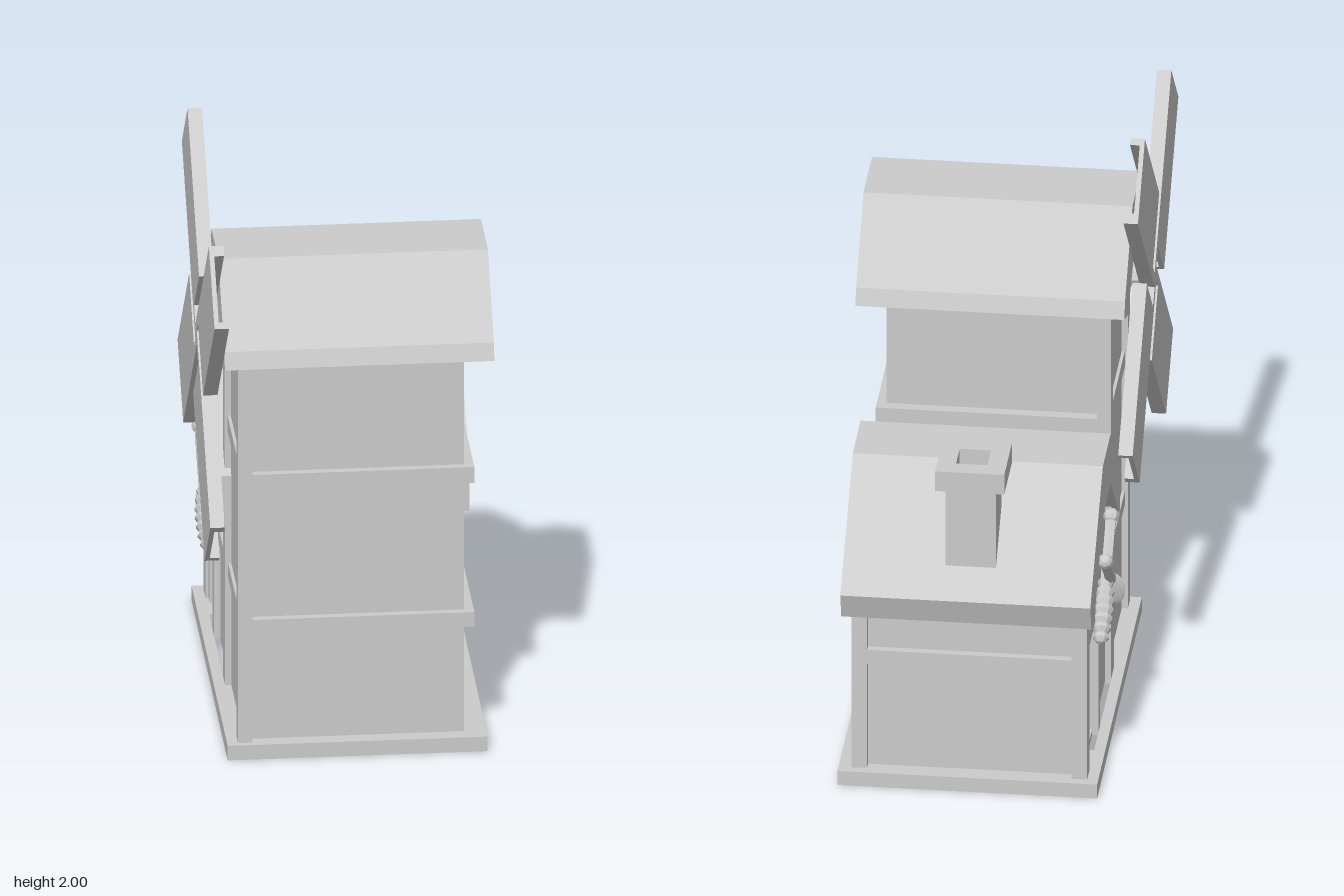
import * as THREE from 'three';

const mat = new THREE.MeshStandardMaterial({ color: 0xcccccc, flatShading: true, side: THREE.DoubleSide });

function add(parent, name, geo) {
  const m = new THREE.Mesh(geo, mat);
  m.name = name;
  parent.add(m);
  return m;
}

// Box from its min and max on each axis
function box(parent, name, x0, x1, y0, y1, z0, z1) {
  const g = new THREE.BoxGeometry(x1 - x0, y1 - y0, z1 - z0);
  g.translate((x0 + x1) / 2, (y0 + y1) / 2, (z0 + z1) / 2);
  return add(parent, name, g);
}

// Profile of [z, y] points extruded from x0 to x1, with optional holes
function extrudeX(parent, name, pts, x0, x1, holes = []) {
  const v = (list) => list.map(([z, y]) => new THREE.Vector2(-z, y));
  const s = new THREE.Shape(v(pts));
  holes.forEach((h) => s.holes.push(new THREE.Path(v(h))));
  const g = new THREE.ExtrudeGeometry(s, { depth: x1 - x0, bevelEnabled: false });
  g.rotateY(Math.PI / 2);
  g.translate(x0, 0, 0);
  return add(parent, name, g);
}

const rect = (a0, a1, b0, b1) => [[a0, b0], [a1, b0], [a1, b1], [a0, b1]];

// Horizontal or upright slab with a rectangular hole, [x, z] outline
function ringY(parent, name, outer, inner, y0, y1) {
  const v = (list) => list.map(([x, z]) => new THREE.Vector2(x, -z));
  const s = new THREE.Shape(v(outer));
  s.holes.push(new THREE.Path(v(inner)));
  const g = new THREE.ExtrudeGeometry(s, { depth: y1 - y0, bevelEnabled: false });
  g.rotateX(-Math.PI / 2);
  g.translate(0, y0, 0);
  return add(parent, name, g);
}

function buildTower() {
  const t = new THREE.Group();
  t.name = 'tower';
  extrudeX(t, 'towerWalls',
    [[0.43, 0.04], [-0.03, 0.04], [-0.03, 1.36], [0.2, 1.52], [0.43, 1.36]], -0.33, 0.37);
  extrudeX(t, 'towerRoof', [
    [0.45, 1.34], [0.55, 1.375], [0.53, 1.43], [0.32, 1.66], [0.08, 1.66],
    [-0.13, 1.43], [-0.15, 1.375], [-0.05, 1.34], [0.2, 1.51],
  ], -0.4, 0.455);
  // Corner posts
  box(t, 'towerPost', -0.35, -0.305, 0.04, 1.38, 0.4, 0.46);
  box(t, 'towerPost', -0.35, -0.305, 0.04, 1.38, -0.08, -0.02);
  // Rails around the tower
  box(t, 'lowerRail', -0.34, 0.4, 0.42, 0.47, -0.02, 0.455);
  box(t, 'upperRail', -0.34, 0.4, 0.915, 0.97, -0.065, 0.455);
  return t;
}

function buildCottage() {
  const c = new THREE.Group();
  c.name = 'cottage';
  const gable = [[-0.02, 0.04], [-0.73, 0.04], [-0.73, 0.64], [-0.49, 0.87], [-0.27, 0.87], [-0.02, 0.64]];
  extrudeX(c, 'rightWall', gable, 0.34, 0.37);
  extrudeX(c, 'doorWall', gable, -0.33, -0.3, [rect(-0.66, -0.43, 0.06, 0.47)]);
  box(c, 'backWall', -0.32, 0.36, 0.04, 0.7, -0.73, -0.7);
  extrudeX(c, 'cottageRoof', [
    [0, 0.62], [0, 0.77], [-0.27, 1.03], [-0.49, 1.03], [-0.85, 0.71], [-0.82, 0.62],
    [-0.72, 0.62], [-0.49, 0.85], [-0.27, 0.85], [-0.03, 0.62],
  ], -0.37, 0.425);
  // Corner posts on both sides
  for (const [x0, x1] of [[-0.35, -0.3], [0.35, 0.4]]) {
    box(c, 'cottagePost', x0, x1, 0.04, 0.66, -0.08, 0);
    box(c, 'cottagePost', x0, x1, 0.04, 0.66, -0.76, -0.69);
  }
  // Rails
  box(c, 'sideRail', 0.35, 0.4, 0.42, 0.47, -0.69, -0.08);
  box(c, 'backRail', -0.3, 0.35, 0.42, 0.47, -0.755, -0.72);
  box(c, 'leftRail', -0.345, -0.31, 0.42, 0.47, -0.4, -0.08);
  // Door frame
  box(c, 'doorJamb', -0.35, -0.29, 0.04, 0.52, -0.44, -0.39);
  box(c, 'doorLintel', -0.345, -0.29, 0.47, 0.52, -0.69, -0.4);
  box(c, 'doorJamb', -0.34, -0.29, 0.04, 0.5, -0.69, -0.65);
  return c;
}

function buildChimney() {
  const c = new THREE.Group();
  c.name = 'chimney';
  const flue = rect(-0.03, 0.07, -0.73, -0.63);
  ringY(c, 'chimneyStack', rect(-0.06, 0.1, -0.76, -0.6), flue, 0.72, 1.08);
  ringY(c, 'chimneyCap', rect(-0.09, 0.13, -0.79, -0.57), flue, 1.07, 1.14);
  box(c, 'flueFloor', -0.03, 0.07, 1.03, 1.05, -0.73, -0.63);
  return c;
}

function buildSails() {
  const s = new THREE.Group();
  s.name = 'sails';
  for (let i = 0; i < 4; i++) {
    const b = new THREE.Group();
    b.name = 'sail';
    // Spar, thin sheet and outer rim
    box(b, 'spar', -0.023, 0.023, 0, 0.672, -0.035, 0);
    box(b, 'sailSheet', -0.023, -0.008, 0.1, 0.672, 0, 0.247);
    box(b, 'sailRim', -0.023, 0.023, 0.1, 0.672, 0.225, 0.247);
    b.rotation.x = Math.PI / 4 + (i * Math.PI) / 2;
    s.add(b);
  }
  const axle = new THREE.CylinderGeometry(0.035, 0.035, 0.13, 8);
  axle.rotateZ(Math.PI / 2);
  axle.translate(0.05, 0, 0);
  add(s, 'axle', axle);
  s.position.set(-0.437, 1.35, 0.2);
  return s;
}

// Two crossed ribbed ears hung above the door
function buildSign() {
  const s = new THREE.Group();
  s.name = 'doorSign';
  for (const side of [-1, 1]) {
    const ear = new THREE.Group();
    ear.name = 'ear';
    const stem = new THREE.CylinderGeometry(0.018, 0.018, 0.24, 6);
    stem.translate(0, 0.1, 0);
    add(ear, 'earStem', stem);
    // Ribbed body as a lathe with swelling bands
    const pts = [new THREE.Vector2(0, -0.22)];
    for (let i = 0; i <= 14; i++) {
      const swell = 0.026 * Math.sin(Math.PI * (0.15 + (0.7 * i) / 14));
      pts.push(new THREE.Vector2(swell + (i % 2 ? 0.011 : 0.002), -0.215 + i * 0.0155));
    }
    pts.push(new THREE.Vector2(0, 0.01));
    add(ear, 'earBody', new THREE.LatheGeometry(pts, 10));
    add(ear, 'earTip', new THREE.SphereGeometry(0.026, 8, 6)).position.y = 0.21;
    ear.rotation.x = side * 0.82;
    ear.position.x = side * 0.008;
    s.add(ear);
  }
  s.position.set(-0.375, 0.57, -0.38);
  return s;
}

export function createModel() {
  const model = new THREE.Group();
  model.name = 'windmillHouse';
  // Plinth, open beneath the cottage room
  ringY(model, 'plinth', rect(-0.385, 0.44, -0.79, 0.48), rect(-0.35, 0.4, -0.56, -0.02), 0, 0.05);
  model.add(buildTower(), buildCottage(), buildChimney(), buildSails(), buildSign());
  return model;
}
